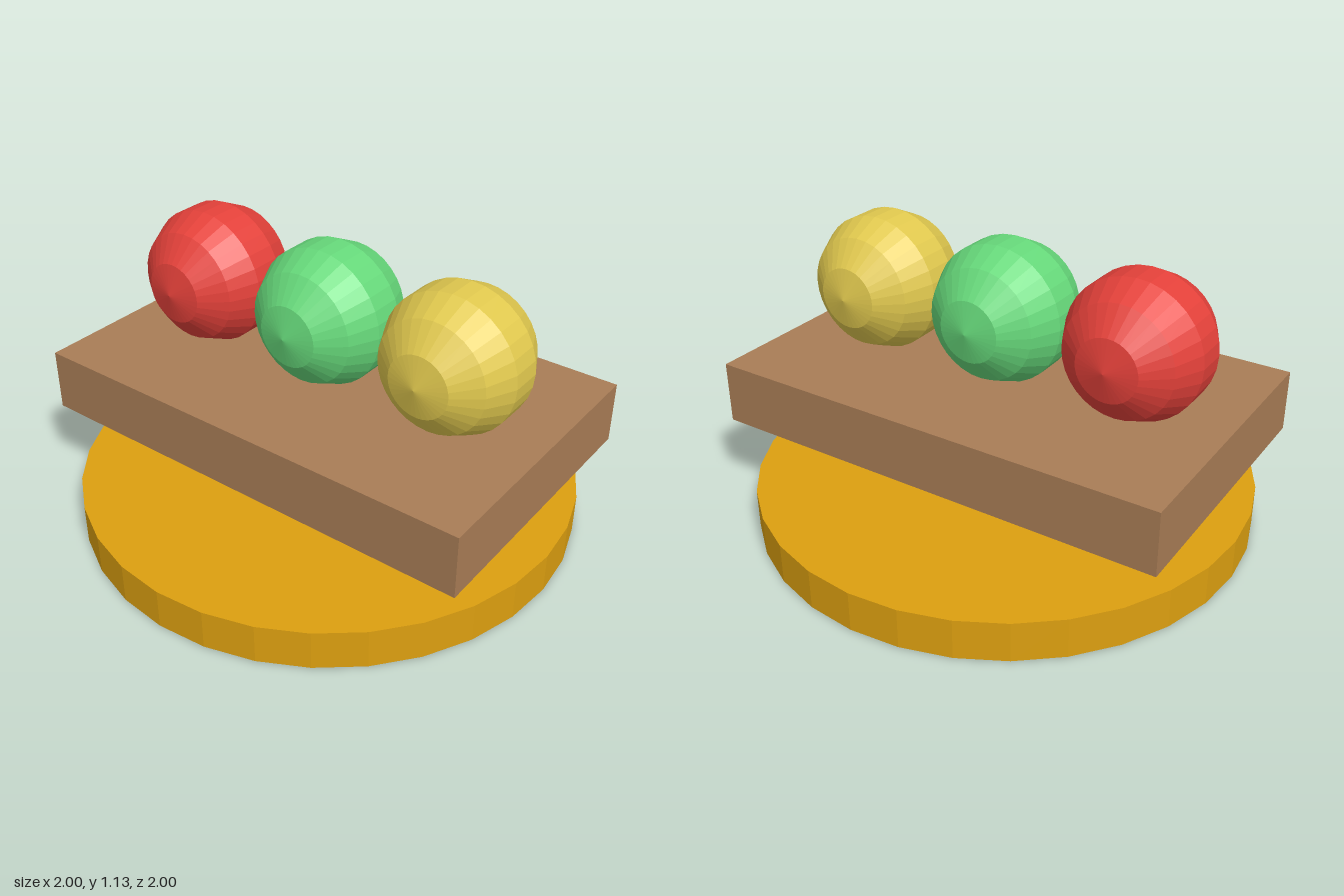
import * as THREE from 'three';

function material(name, color) {
  const m = new THREE.MeshStandardMaterial({ color });
  m.name = name;
  m.flatShading = true;
  return m;
}

export function createModel() {
  const model = new THREE.Group();
  model.name = 'ballsOnBoard';

  const add = (name, geometry, mat, x, y, z) => {
    const mesh = new THREE.Mesh(geometry, mat);
    mesh.name = name;
    mesh.position.set(x, y, z);
    model.add(mesh);
  };

  // Round base disc
  add('baseDisc', new THREE.CylinderGeometry(1, 1, 0.16, 32),
    material('gold', 0xdc9f10), 0, 0.08, 0);

  // Board floating above the base
  add('board', new THREE.BoxGeometry(1.89, 0.25, 1.14),
    material('brown', 0xa97d56), 0, 0.47, 0);

  // Three faceted balls in a row, poles pointing front and back
  const ball = new THREE.SphereGeometry(0.283, 32, 7).rotateX(Math.PI / 2);
  [
    ['redBall', 'red', 0xe4413a],
    ['greenBall', 'green', 0x66d87a],
    ['yellowBall', 'yellow', 0xe0c84e],
  ].forEach(([name, colorName, color], i) => {
    add(name, ball, material(colorName, color), (i - 1) * 0.568, 0.85, 0);
  });

  return model;
}
